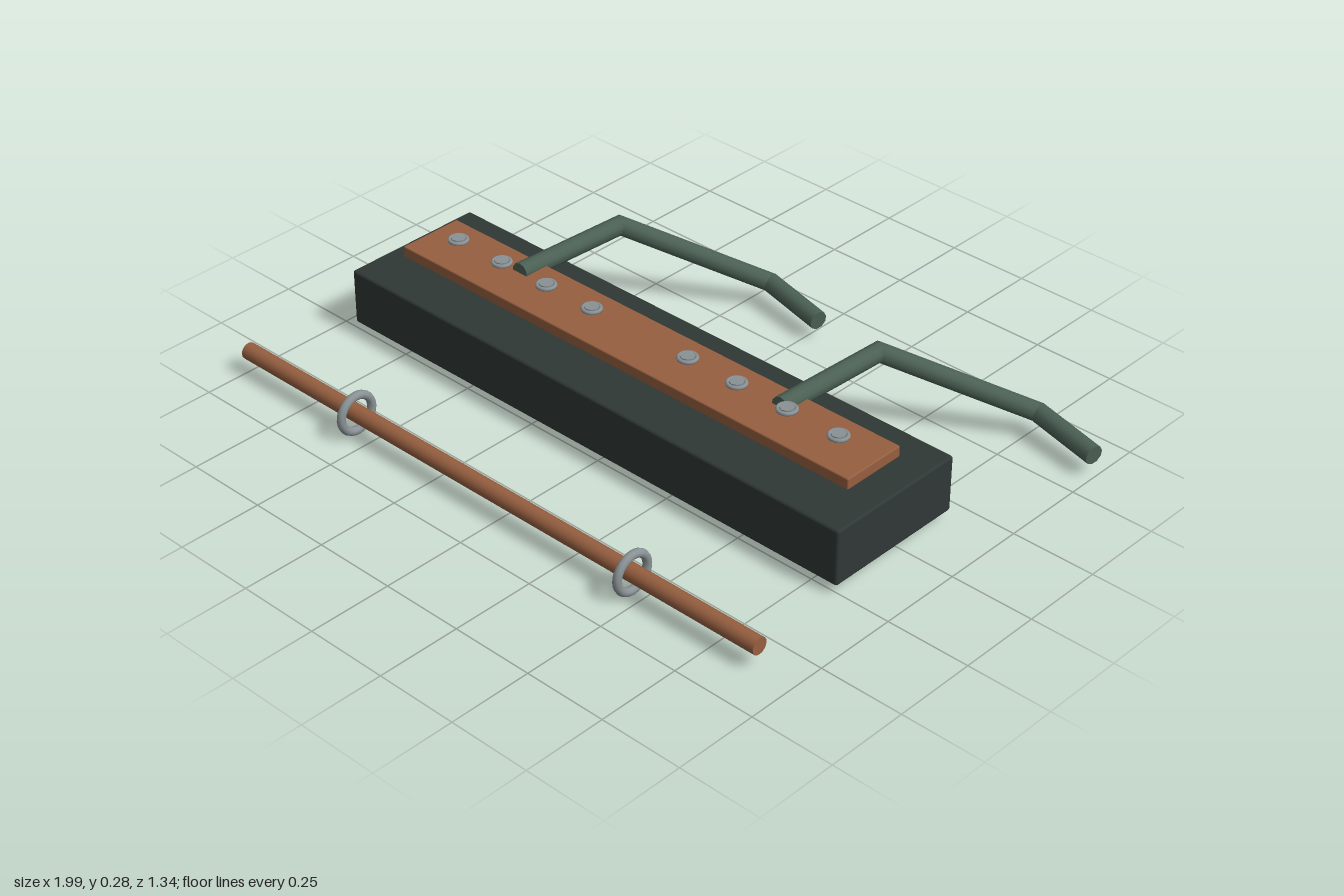
import * as THREE from 'three';
import { RoundedBoxGeometry } from 'three/addons/geometries/RoundedBoxGeometry.js';

const material = (name, color) => {
  const m = new THREE.MeshStandardMaterial({ color });
  m.name = name;
  return m;
};

export function createModel() {
  const model = new THREE.Group();
  model.name = 'model';
  const slate = material('dark slate', 0x2f3836);
  const wood = material('brown wood', 0x965f40);
  const green = material('grey green', 0x4b6054);
  const metal = material('grey metal', 0x8a9295);

  const add = (name, geometry, mat, x = 0, y = 0, z = 0, parent = model) => {
    const mesh = new THREE.Mesh(geometry, mat);
    mesh.name = name;
    mesh.position.set(x, y, z);
    parent.add(mesh);
    return mesh;
  };

  // Block and the plank above it
  add('block', new RoundedBoxGeometry(1.785, 0.17, 0.45, 2, 0.008), slate, -0.053, 0.115, 0.035);
  add('plank', new RoundedBoxGeometry(1.63, 0.034, 0.203, 2, 0.004), wood, -0.055, 0.237, 0.032);

  // Loose rod with two rings around it
  add('rod', new THREE.CylinderGeometry(0.025, 0.025, 1.89, 16).rotateZ(Math.PI / 2), wood, -0.055, 0.07, 0.602);
  for (const x of [-0.556, 0.466]) {
    add('ring', new THREE.TorusGeometry(0.054, 0.0125, 10, 28).rotateY(Math.PI / 2), metal, x, 0.07, 0.602);
  }

  // Two rows of four studs, each a collar with a head
  for (const start of [-0.753, 0.12]) {
    for (let i = 0; i < 4; i++) {
      const stud = new THREE.Group();
      stud.name = 'stud';
      stud.position.set(start + i * 0.1735, 0.28, 0.032);
      add('studCollar', new THREE.TorusGeometry(0.025, 0.006, 8, 16).rotateX(Math.PI / 2), metal, 0, 0, 0, stud);
      add('studHead', new THREE.CylinderGeometry(0.021, 0.021, 0.014, 8), metal, 0, 0, 0, stud);
      model.add(stud);
    }
  }

  // Bent arms: straight tubes whose ends are cut to the mitre plane of each bend
  const path = [[0, 0.256, 0.01], [0, 0.237, -0.385], [0.345, 0.078, -0.643], [0.564, 0.064, -0.6]]
    .map((p) => new THREE.Vector3(...p));
  const dirs = path.slice(1).map((p, i) => p.clone().sub(path[i]).normalize());
  const planes = path.map((p, i) => (dirs[i - 1] || dirs[i]).clone().add(dirs[i] || dirs[i - 1]).normalize());
  const segments = dirs.map((dir, i) => {
    const g = new THREE.CylinderGeometry(0.028, 0.028, 1, 10);
    const up = new THREE.Vector3(0, 1, 0);
    const ends = Array.from({ length: g.attributes.position.count }, (_, k) => (g.attributes.position.getY(k) > 0 ? i + 1 : i));
    g.applyQuaternion(new THREE.Quaternion().setFromUnitVectors(up, dir));
    g.translate(path[i].x, path[i].y, path[i].z);
    const pos = g.attributes.position;
    const v = new THREE.Vector3();
    ends.forEach((end, k) => {
      v.fromBufferAttribute(pos, k);
      const n = planes[end];
      v.addScaledVector(dir, path[end].clone().sub(v).dot(n) / dir.dot(n));
      pos.setXYZ(k, v.x, v.y, v.z);
    });
    return g;
  });
  for (const x of [-0.532, 0.424]) {
    const arm = new THREE.Group();
    arm.name = 'bentArm';
    arm.position.x = x;
    segments.forEach((g) => add('armSegment', g, green, 0, 0, 0, arm));
    model.add(arm);
  }

  return model;
}
